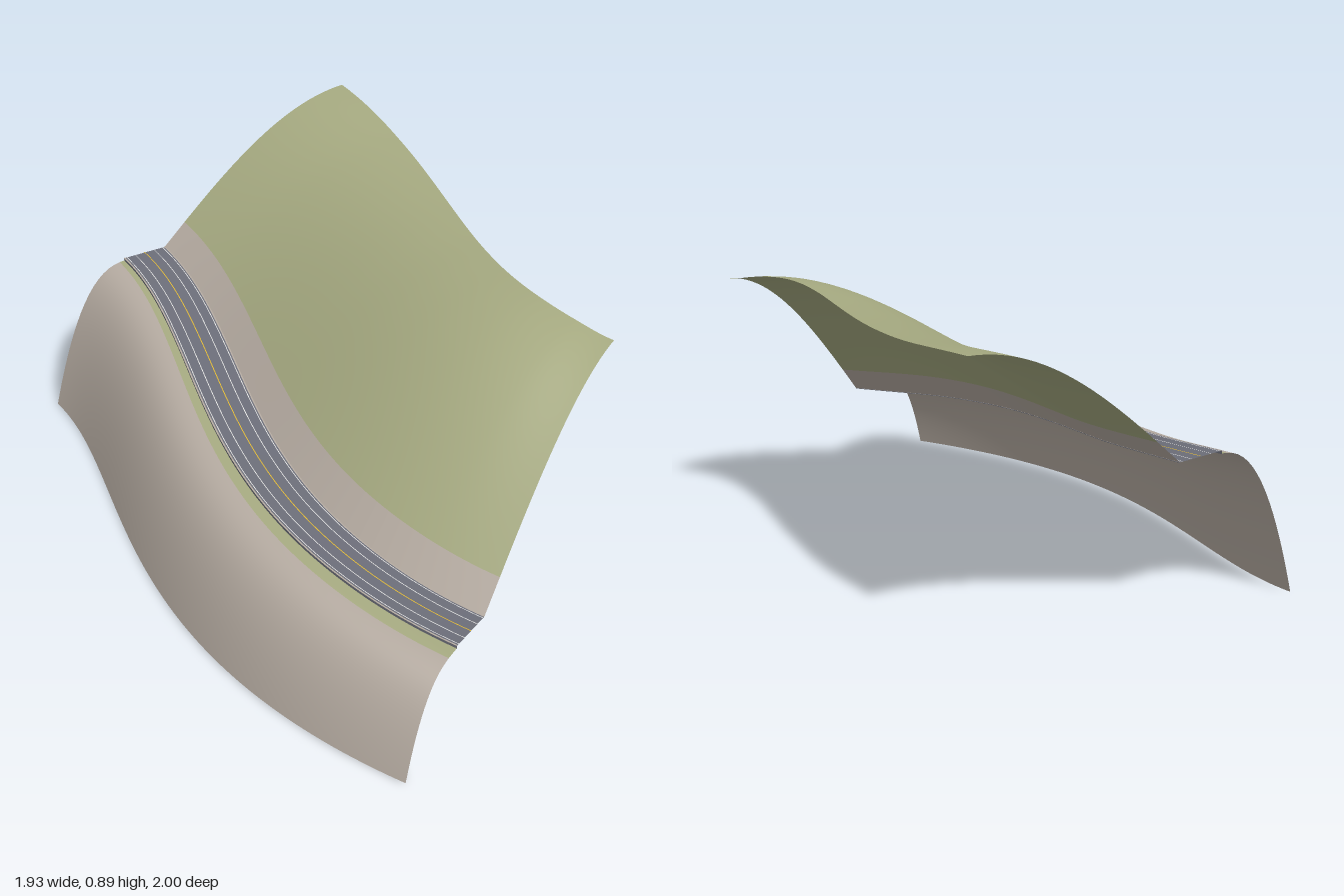
import * as THREE from 'three';

const mat = (name, color) => {
  const m = new THREE.MeshStandardMaterial({ color, side: THREE.DoubleSide });
  m.name = name;
  return m;
};

export function createModel() {
  const rock = mat('rock', 0xb5aba1);
  const grass = mat('grass', 0xa6aa81);
  const asphalt = mat('asphalt', 0x6c6e79);
  const white = mat('white paint', 0xf4f4f2);
  const yellow = mat('yellow paint', 0xecc030);
  const group = new THREE.Group();
  group.name = 'hillsideRoad';
  const lerp = THREE.MathUtils.lerp;
  const N = 80, HALF = 0.08;

  // Centre line of the road in plan
  const path = new THREE.CubicBezierCurve3(...[
    [-0.818, -0.252], [-0.267, -0.014], [0.043, 0.652], [0.963, 0.652],
  ].map(([x, z]) => new THREE.Vector3(x, 0, z)));

  // Heights at even steps along the road, and along the ridge above it
  const heights = (list) => {
    const curve = new THREE.SplineCurve(list.map((y, i) => new THREE.Vector2(i, y)));
    return (u) => curve.getPoint(u).y;
  };
  const roadY = heights([0.482, 0.433, 0.38, 0.335, 0.297]);
  const ridgeY = heights([0.89, 0.862, 0.848, 0.846, 0.851, 0.855, 0.853, 0.841, 0.82]);

  const frames = Array.from({ length: N + 1 }, (_, i) => {
    const u = i / N;
    const t = path.getTangentAt(u);
    return { u, p: path.getPointAt(u), nx: t.z, nz: -t.x };
  });

  // Sweep a section of [offset towards the hill, height] along the path;
  // each column of faces takes the material picked by its index
  function sweep(name, section, materials, pick = () => 0) {
    const pos = [], index = [];
    let cols = 0;
    for (const { u, p, nx, nz } of frames) {
      const pts = section(u);
      cols = pts.length;
      for (const [d, y] of pts) pos.push(p.x + nx * d, y, p.z + nz * d);
    }
    const geo = new THREE.BufferGeometry();
    for (let j = 0; j < cols - 1; j++) {
      geo.addGroup(index.length, N * 6, pick(j));
      for (let i = 0; i < N; i++) {
        const a = i * cols + j, b = a + cols;
        index.push(a, b, a + 1, b, b + 1, a + 1);
      }
    }
    geo.setAttribute('position', new THREE.Float32BufferAttribute(pos, 3));
    geo.setIndex(index);
    geo.computeVertexNormals();
    const mesh = new THREE.Mesh(geo, materials);
    mesh.name = name;
    group.add(mesh);
  }

  // Rock face falling from the road to the ground, with a widening grass verge on top
  const DOWN = 20;
  sweep('lowerSlope', (u) => {
    const width = lerp(0.292, 0.265, u);
    const verge = lerp(0.018, 0.045, u) / width;
    const steps = Array.from({ length: DOWN + 1 }, (_, j) =>
      lerp(verge, 1, Math.sin((1 - j / DOWN) * Math.PI / 2)));
    return [...steps, verge / 2, 0].map((e) =>
      [-HALF - width * e, roadY(u) * (1 - Math.pow(e, lerp(2.4, 2.9, u)))]);
  }, [rock, grass], (j) => (j >= DOWN ? 1 : 0));

  // Hillside above the road: a rock cutting, then grass up to the ridge
  const UP = 27;
  sweep('upperSlope', (u) => Array.from({ length: UP + 1 }, (_, j) => {
    const f = j / UP;
    const rise = Math.sin(f * Math.PI / 2) - 0.03 * u * Math.sin(f * Math.PI);
    return [HALF + 0.736 * f, lerp(roadY(u), ridgeY(u), rise)];
  }), [rock, grass], (j) => (j < 3 ? 0 : 1));

  // Road deck, slightly banked, with its edges
  const deckY = (u, d) => roadY(u) + 0.004 - d * 0.06;
  sweep('roadDeck', (u) => [-HALF, 0, HALF].map((d) => [d, deckY(u, d)]), [asphalt]);
  for (const s of [-1, 1]) {
    sweep(s < 0 ? 'outerRoadEdge' : 'innerRoadEdge', (u) => {
      const edge = [[s * HALF, roadY(u) - 0.002], [s * HALF, deckY(u, s * HALF)]];
      return s < 0 ? edge : edge.reverse();
    }, [asphalt]);
    // Narrow shoulders
    sweep('shoulder', (u) => [s * 0.076, s * 0.081].sort((a, b) => a - b)
      .map((d) => [d, deckY(u, d) + 0.0012]), [rock]);
  }

  // Painted lines
  const line = (name, d, w, m) =>
    sweep(name, (u) => [d - w / 2, d + w / 2].map((x) => [x, deckY(u, x) + 0.0015]), [m]);
  for (const s of [-1, 1]) {
    line('edgeLine', s * 0.07, 0.0025, white);
    line('laneLine', s * 0.037, 0.0025, white);
  }
  line('centreLine', 0, 0.003, yellow);

  return group;
}
